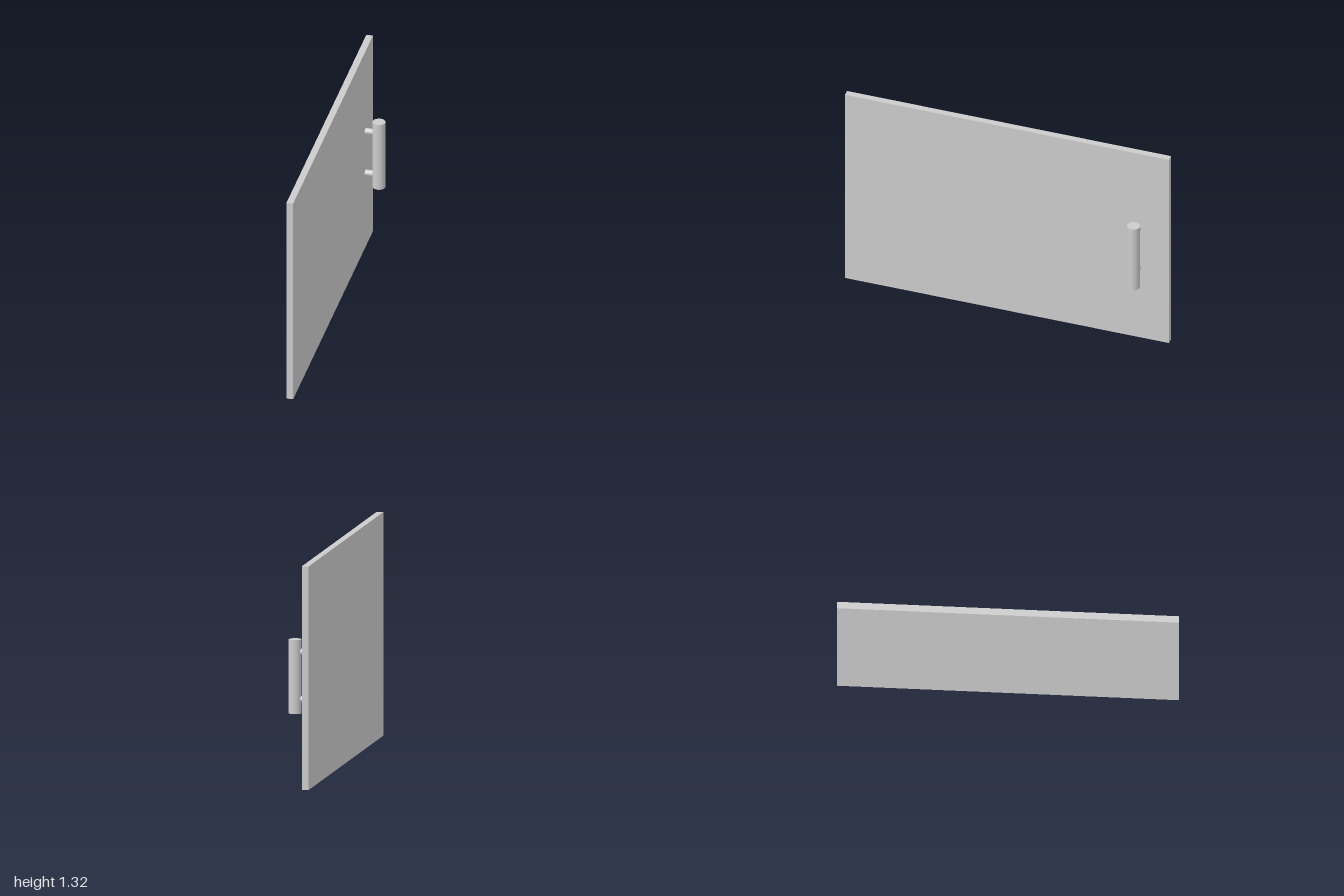
import * as THREE from 'three';

export function createModel() {
  const group = new THREE.Group();
  const material = new THREE.MeshStandardMaterial({ color: 0xcccccc });

  const add = (name, geometry, x, y, z, parent = group) => {
    const mesh = new THREE.Mesh(geometry, material);
    mesh.name = name;
    mesh.position.set(x, y, z);
    parent.add(mesh);
    return mesh;
  };

  // Flat door panel
  const height = 1.324;
  add('doorPanel', new THREE.BoxGeometry(0.04, height, 2), -0.06, height / 2, 0);

  // Bar handle near the back edge, held by two short posts
  const handle = new THREE.Group();
  handle.name = 'handle';
  handle.position.set(0.042, 0.64, -0.81);
  group.add(handle);

  add('handleBar', new THREE.CylinderGeometry(0.038, 0.038, 0.438, 48), 0, 0, 0, handle);

  const postGeometry = new THREE.CylinderGeometry(0.019, 0.019, 0.082, 32).rotateZ(Math.PI / 2);
  [['upperPost', 0.146], ['lowerPost', -0.135]].forEach(([name, y]) => {
    add(name, postGeometry, -0.041, y, 0, handle);
  });

  return group;
}
